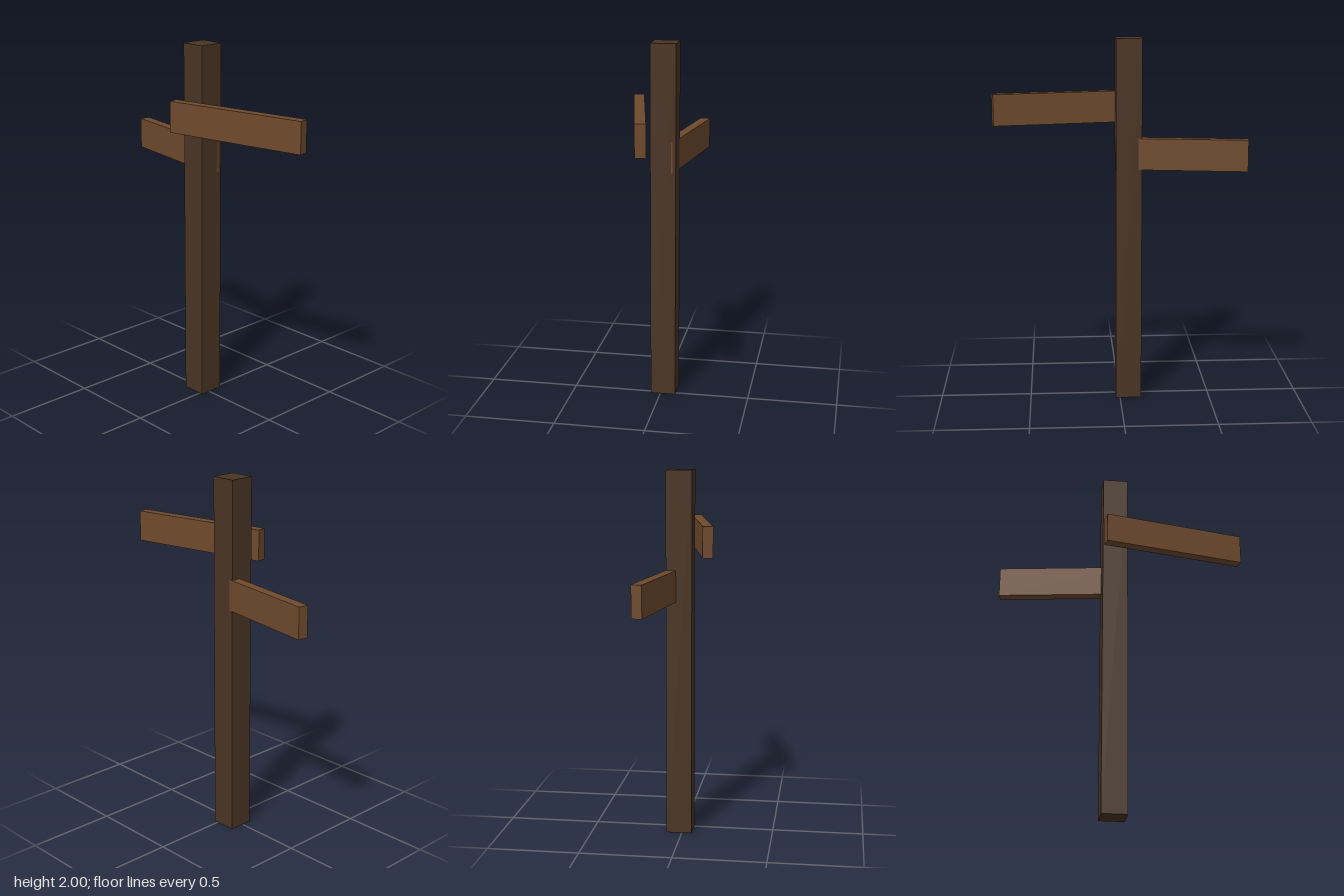
import * as THREE from 'three';

export function createModel() {
  const model = new THREE.Group();
  model.name = 'signpost';

  const darkWood = new THREE.MeshStandardMaterial({ name: 'dark wood', color: 0x4a3524 });
  const plankWood = new THREE.MeshStandardMaterial({ name: 'plank wood', color: 0x6f4a2d });

  function addBox(name, size, position, material, turn = 0) {
    const mesh = new THREE.Mesh(new THREE.BoxGeometry(...size), material);
    mesh.name = name;
    mesh.position.set(...position);
    mesh.rotation.y = turn;
    model.add(mesh);
  }

  // Square upright post
  addBox('post', [0.14, 2, 0.14], [-0.048, 1, -0.015], darkWood);

  // Upper board, fixed across the front of the post
  addBox('upperBoard', [0.807, 0.17, 0.056], [0.285, 1.62, 0.06], plankWood, 0.2);

  // Lower board, set into the post and swept back
  addBox('lowerBoard', [0.71, 0.17, 0.056], [-0.332, 1.383, -0.092], plankWood, -0.15);

  return model;
}
